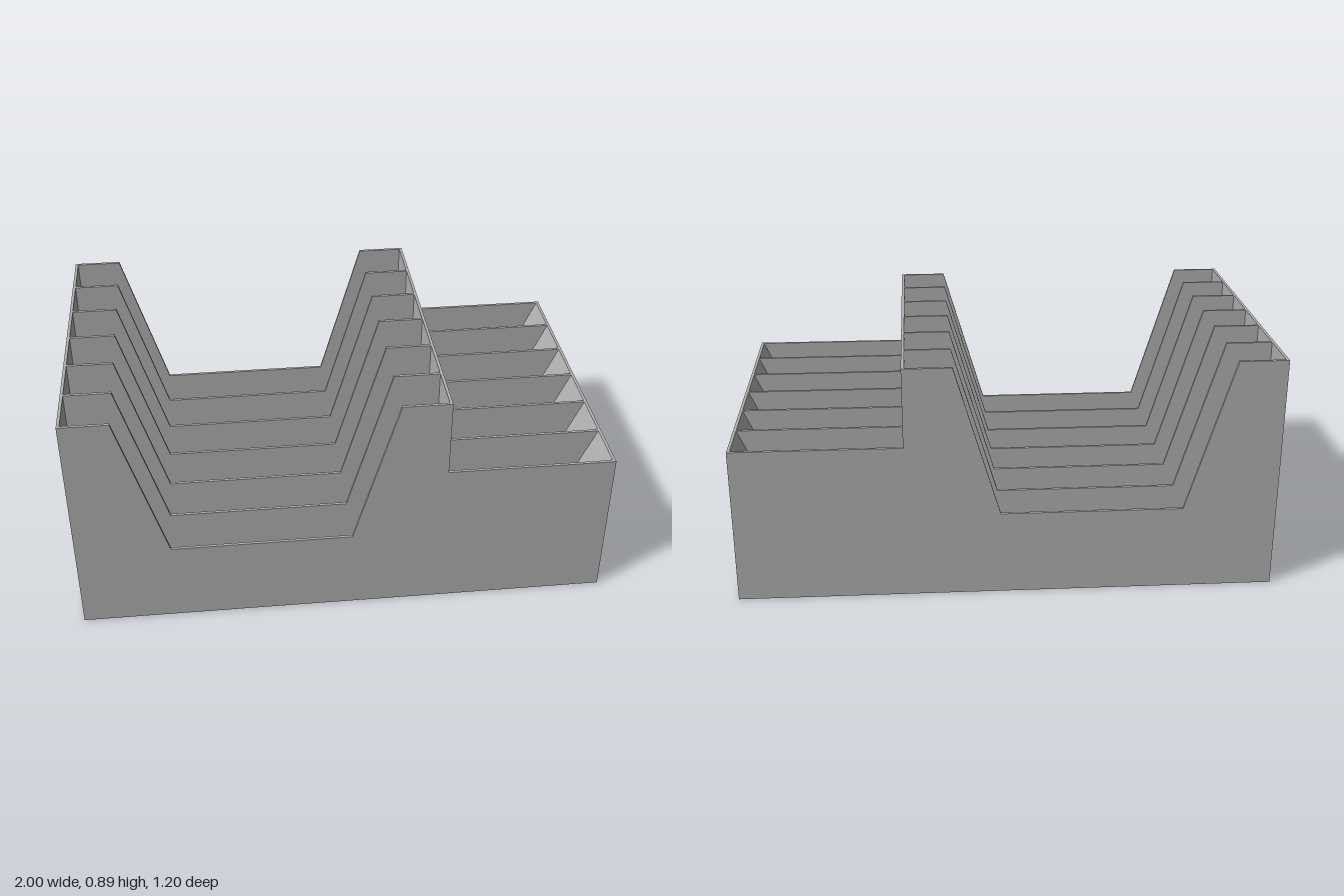
import * as THREE from 'three';

const T = 0.011;        // wall thickness
const DEPTH = 1.195;    // overall depth along z
const BAYS = 6;
const LOW = 0.595, HIGH = 0.895, DIP = 0.322;
const MID = 0.375;      // outer face of the tall middle wall

const grey = new THREE.MeshStandardMaterial({ color: 0xb0b0b0 });
grey.name = 'grey';

// Extrude an x-y outline to a given depth, starting at z
function slab(name, points, z, depth) {
  const shape = new THREE.Shape(points.map(([x, y]) => new THREE.Vector2(x, y)));
  const geometry = new THREE.ExtrudeGeometry(shape, { depth, bevelEnabled: false });
  const mesh = new THREE.Mesh(geometry, grey);
  mesh.name = name;
  mesh.position.z = z;
  return mesh;
}

export function createModel() {
  const model = new THREE.Group();
  model.name = 'dividedOrganizer';

  // Side panels and dividers share one stepped outline with a sloping dip
  const dividerOutline = [
    [-1, 0], [1, 0], [1, LOW], [MID, LOW], [MID, HIGH], [0.195, HIGH],
    [0.025, DIP], [-0.65, DIP], [-0.82, HIGH], [-1, HIGH],
  ];
  const pitch = (DEPTH - T) / BAYS;
  for (let i = 0; i <= BAYS; i++) {
    const outer = i === 0 || i === BAYS;
    model.add(slab(outer ? 'sidePanel' : 'divider', dividerOutline, -DEPTH / 2 + i * pitch, T));
  }

  // Floor, end walls, middle wall and the ramp of the low compartments
  const trayOutline = [
    [-1, 0], [1, 0], [1, LOW], [1 - T, LOW], [0.73, T], [MID, T], [MID, HIGH],
    [MID - T, HIGH], [MID - T, T], [-1 + T, T], [-1 + T, HIGH], [-1, HIGH],
  ];
  model.add(slab('floorWallsAndRamp', trayOutline, -DEPTH / 2 + T, DEPTH - 2 * T));

  return model;
}
